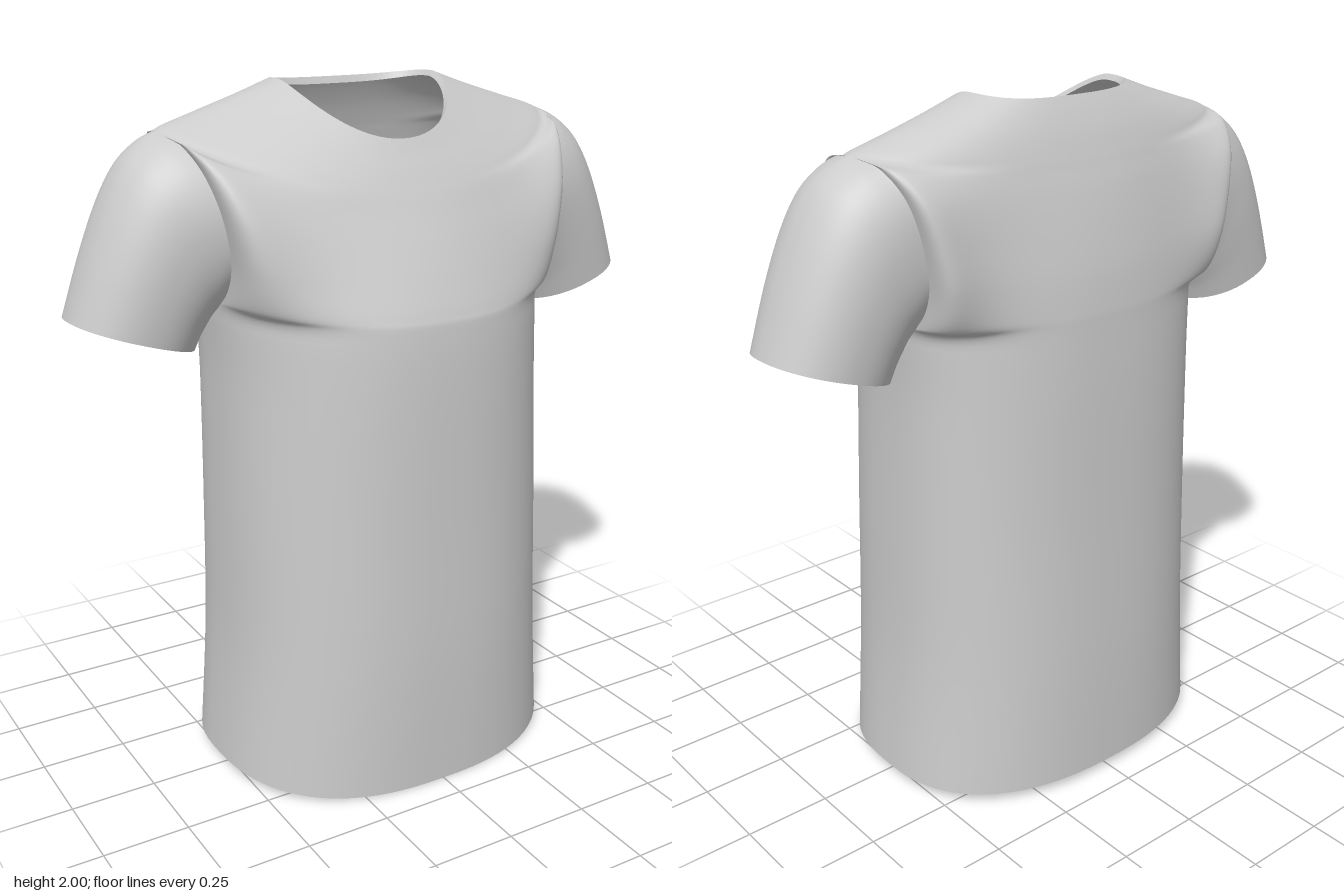
import * as THREE from 'three';
import { mergeGeometries, mergeVertices } from 'three/addons/utils/BufferGeometryUtils.js';

const STEPS = 8;

// Smoothly resample a list of numeric stations (Catmull-Rom on every column)
function resample(rows) {
  const out = [];
  for (let i = 0; i < rows.length - 1; i++) {
    const p0 = rows[Math.max(i - 1, 0)], p1 = rows[i], p2 = rows[i + 1];
    const p3 = rows[Math.min(i + 2, rows.length - 1)];
    for (let s = 0; s < STEPS; s++) {
      const t = s / STEPS;
      out.push(p1.map((b, k) => {
        const a = p0[k], c = p2[k], d = p3[k];
        return 0.5 * (2 * b + (c - a) * t + (2 * a - 5 * b + 4 * c - d) * t * t
          + (3 * b - a - 3 * c + d) * t * t * t);
      }));
    }
  }
  out.push(rows[rows.length - 1]);
  return out;
}

// Surface over a grid of points (equal-length rows)
function skin(grid) {
  const n = grid[0].length, idx = [];
  for (let i = 0; i < grid.length - 1; i++)
    for (let j = 0; j < n - 1; j++) {
      const a = i * n + j, b = a + 1, c = a + n, d = c + 1;
      idx.push(a, b, d, a, d, c);
    }
  const g = new THREE.BufferGeometry();
  g.setAttribute('position', new THREE.Float32BufferAttribute(grid.flat(2), 3));
  g.setIndex(idx);
  return g;
}

// Weld touching edges so the shading runs smoothly across them
function weld(...parts) {
  const g = mergeVertices(mergeGeometries(parts), 1e-4);
  g.computeVertexNormals();
  return g;
}

const spow = (v, p) => Math.sign(v) * Math.abs(v) ** p;

// Body row: side x, y, z | armhole opening to front, to back | front y, z | back y, z |
// front and back squareness | y falloff
function bodyPoint([sx, sy, sz, of, ob, fy, fz, by, bz, nf, nb, fall], angle, front) {
  const s = Math.sin(angle), c = Math.abs(Math.cos(angle));
  const [open, my, mz, n] = front ? [of, fy, fz, nf] : [-ob, by, bz, nb];
  return [
    sx * spow(s, 2 / n),
    sy + (my - sy) * c ** fall,
    sz + (mz - sz) * c ** (2 / n) + open * s ** 4,
  ];
}

// Half a row: the front runs right to left, the back left to right
const SIDES = 48;
const halfRow = (row, front) => Array.from({ length: SIDES + 1 }, (_, j) =>
  bodyPoint(row, (j / SIDES + (front ? -0.5 : 0.5)) * Math.PI, front));
const panel = (rows, front) => skin(rows.map((row) => halfRow(row, front)));

// Sleeve ring: top x, y | bottom x, y | front z, back z
function sleevePoint([tx, ty, bx, by, fz, bz], angle) {
  const u = spow(Math.cos(angle), 0.9), v = spow(Math.sin(angle), 0.9);
  return [
    (tx + bx) / 2 + ((tx - bx) / 2) * u,
    (ty + by) / 2 + ((ty - by) / 2) * u,
    (fz + bz) / 2 + ((fz - bz) / 2) * v,
  ];
}

export function createModel() {
  const shirt = new THREE.Group();
  shirt.name = 'tShirt';
  const cloth = new THREE.MeshStandardMaterial({ color: 0xcccccc, side: THREE.DoubleSide });
  const add = (name, geometry) => {
    const mesh = new THREE.Mesh(geometry, cloth);
    mesh.name = name;
    shirt.add(mesh);
  };

  // Hem to neckline; the panels part between armpit and shoulder to leave the armholes
  const below = [
    [0.535, 0.035, -0.03, 0, 0, 0.0, 0.415, 0.03, -0.42, 2.5, 2.4, 1.5],
    [0.505, 0.4, -0.03, 0, 0, 0.39, 0.42, 0.39, -0.415, 2.5, 2.45, 1.5],
    [0.495, 0.8, -0.03, 0, 0, 0.8, 0.412, 0.8, -0.40, 2.45, 2.5, 1.5],
    [0.49, 1.2, -0.04, 0, 0, 1.19, 0.405, 1.19, -0.387, 2.35, 2.5, 1.5],
  ];
  const armhole = [
    [0.50, 1.40, -0.05, 0, 0, 1.36, 0.397, 1.39, -0.377, 2.25, 2.4, 1.5],
    [0.498, 1.45, -0.053, 0.12, 0.13, 1.41, 0.387, 1.45, -0.373, 2.2, 2.35, 1.5],
    [0.505, 1.55, -0.057, 0.19, 0.19, 1.495, 0.353, 1.55, -0.36, 2.1, 2.25, 1.5],
    [0.53, 1.68, -0.062, 0.205, 0.197, 1.585, 0.312, 1.66, -0.337, 2, 2.15, 1.5],
    [0.56, 1.79, -0.069, 0.17, 0.17, 1.655, 0.277, 1.75, -0.314, 1.95, 2.1, 1.5],
    [0.59, 1.86, -0.076, 0.1, 0.1, 1.705, 0.252, 1.81, -0.295, 1.95, 2.1, 1.5],
    [0.605, 1.885, -0.08, 0, 0, 1.735, 0.236, 1.84, -0.285, 1.95, 2.15, 1.5],
  ];
  const neck = [0.25, 2.0, -0.08, 0, 0, 1.85, 0.17, 1.985, -0.22, 2.1, 3, 1.5];
  const above = [
    [0.49, 1.922, -0.085, 0, 0, 1.775, 0.214, 1.895, -0.265, 2, 2.35, 1.5],
    [0.36, 1.962, -0.082, 0, 0, 1.815, 0.19, 1.945, -0.242, 2.05, 2.65, 1.5],
    neck,
  ];
  const armpit = below.length * STEPS;
  const shoulder = armpit + (armhole.length - 1) * STEPS;
  const rows = resample([...below, ...armhole, ...above]);
  rows.forEach((row, i) => {
    if (i <= armpit || i >= shoulder) row[3] = row[4] = 0;
  });
  add('torso', weld(panel(rows, true), panel(rows, false)));

  // Folded inner edge of the neckline
  const inner = [0.238, 1.985, -0.08, 0, 0, 1.835, 0.162, 1.965, -0.212, 2.1, 3, 1.5];
  add('neckband', weld(panel([neck, inner], true), panel([neck, inner], false)));

  // Armhole edge: up the front panel, down the back panel
  const open = rows.slice(armpit, shoulder + 1);
  const edge = [
    ...open.map((r) => [r[0], r[1], r[2] + r[3]]),
    ...open.slice(0, -1).reverse().map((r) => [r[0], r[1], r[2] - r[4]]),
  ];

  // Short sleeves from the armhole down to the open cuff
  const sleeve = resample([
    [0.605, 1.885, 0.50, 1.40, 0.145, -0.26],
    [0.655, 1.862, 0.508, 1.385, 0.14, -0.258],
    [0.715, 1.81, 0.518, 1.37, 0.132, -0.254],
    [0.77, 1.72, 0.528, 1.35, 0.123, -0.25],
    [0.83, 1.58, 0.538, 1.33, 0.112, -0.243],
    [0.89, 1.41, 0.55, 1.30, 0.10, -0.235],
  ]);
  const angleAt = (j) => Math.PI * (1 - (2 * j) / (edge.length - 1));
  const rings = sleeve.map((row, i) => {
    const keep = (1 - i / (sleeve.length - 1)) ** 2;
    return edge.map((e, j) => {
      const start = sleevePoint(sleeve[0], angleAt(j));
      return sleevePoint(row, angleAt(j)).map((v, k) => v + (e[k] - start[k]) * keep);
    });
  });
  add('leftSleeve', weld(skin(rings.map((ring) => [...ring].reverse()))));
  add('rightSleeve', weld(skin(rings.map((ring) => ring.map(([x, y, z]) => [-x, y, z])))));

  return shirt;
}
